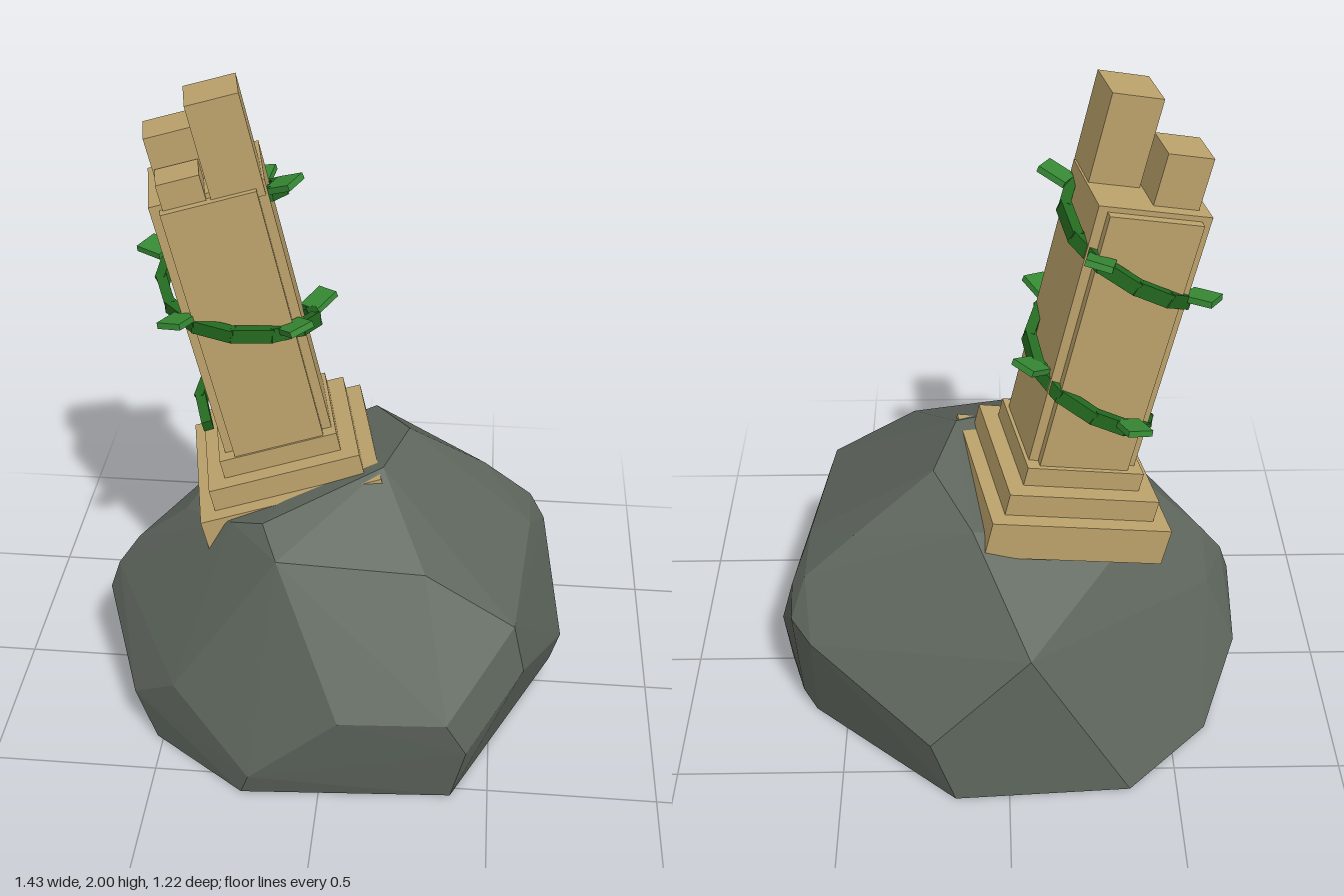
import * as THREE from 'three';
import { ConvexGeometry } from 'three/addons/geometries/ConvexGeometry.js';

const material = (name, color) => {
  const m = new THREE.MeshStandardMaterial({ color });
  m.name = name;
  return m;
};

// Corners of the boulder, grouped by side
const ROCK = [
  // ground outline
  [0.39, 0, 0.53], [-0.23, 0, 0.57], [-0.52, 0, 0.36], [-0.68, 0, -0.08], [-0.61, 0, -0.33],
  [-0.36, 0, -0.58], [0.16, 0, -0.61], [0.6, 0, -0.23], [0.655, 0, -0.03],
  // front
  [0.06, 0.33, 0.61], [0.37, 0.32, 0.58], [0.43, 0.2, 0.56], [-0.205, 0.08, 0.59], [-0.445, 0.275, 0.43],
  [-0.585, 0.155, 0.335], [0.475, 0.44, 0.465], [0.29, 0.71, 0.39], [-0.13, 0.75, 0.42],
  // +x side
  [0.55, 0.55, 0.4], [0.585, 0.39, 0.4], [0.595, 0.585, -0.06], [0.645, 0.5, -0.21], [0.715, 0.19, -0.01],
  [0.69, 0.06, -0.045], [0.64, 0.06, -0.205], [0.645, 0.43, -0.29], [0.585, 0.39, -0.36], [0.6, 0.56, -0.25],
  // back
  [0.23, 0.22, -0.61], [-0.06, 0.525, -0.59], [0.45, 0.69, -0.22],
  // top
  [0.1, 0.8, -0.35], [0.215, 0.86, -0.135], [0.15, 0.872, 0.1], [-0.18, 0.8, 0.31], [-0.28, 0.755, 0.25],
  [-0.38, 0.66, -0.17], [-0.45, 0.65, 0.05],
  // -x side
  [-0.61, 0.51, 0.02], [-0.62, 0.4, -0.1], [-0.675, 0.42, 0.04], [-0.705, 0.33, 0.05], [-0.715, 0.175, -0.12],
];

export function createModel() {
  const model = new THREE.Group();
  const rockGrey = material('rock grey', 0x5f675e);
  const sandstone = material('sandstone', 0xbda36c);
  const vineGreen = material('vine green', 0x23691f);
  const leafGreen = material('leaf green', 0x378b35);

  const boulder = new THREE.Mesh(new ConvexGeometry(ROCK.map(p => new THREE.Vector3(...p))), rockGrey);
  boulder.name = 'boulder';
  model.add(boulder);

  // Leaning pillar; its local y = 0 is the top of the lowest step
  const pillar = new THREE.Group();
  pillar.name = 'pillar';
  pillar.position.set(-0.163, 0.8, -0.065);
  pillar.rotation.set(0.028, THREE.MathUtils.degToRad(11), THREE.MathUtils.degToRad(12.5), 'ZXY');
  model.add(pillar);

  const block = (name, w, d, y0, y1, x = 0, z = 0) => {
    const m = new THREE.Mesh(new THREE.BoxGeometry(w, y1 - y0, d), sandstone);
    m.name = name;
    m.position.set(x, (y0 + y1) / 2, z);
    pillar.add(m);
  };
  block('lowerStep', 0.54, 0.54, -0.12, 0);
  block('middleStep', 0.45, 0.45, 0, 0.07);
  block('upperStep', 0.35, 0.35, 0.07, 0.13);
  // two crossing boxes leave a notch at every corner
  block('shaftWide', 0.32, 0.27, 0.13, 0.94, 0.004);
  block('shaftDeep', 0.265, 0.33, 0.13, 0.925, 0.004, 0.004);
  // broken top
  block('tallStub', 0.145, 0.15, 0.9, 1.195, 0.085, 0.075);
  block('middleStub', 0.13, 0.13, 0.9, 1.09, -0.062, -0.035);
  block('shortStub', 0.12, 0.11, 0.9, 1.0, -0.06, 0.09);

  // Vine winding down the shaft; t counts turns from the +x face
  const vine = new THREE.Group();
  vine.name = 'vine';
  pillar.add(vine);
  const helix = (t, r = 0.2) => {
    const a = t * Math.PI * 2;
    return new THREE.Vector3(r * Math.cos(a), 0.845 - 0.42 * t, -r * Math.sin(a));
  };
  const start = -0.1, end = 1.55, count = 20;
  for (let i = 0; i < count; i++) {
    const a = helix(start + (end - start) * i / count);
    const b = helix(start + (end - start) * (i + 1) / count);
    const stem = new THREE.Mesh(new THREE.BoxGeometry(0.03, 0.04, a.distanceTo(b) + 0.012), vineGreen);
    stem.name = 'vineSegment';
    stem.position.copy(a).lerp(b, 0.5);
    stem.quaternion.setFromRotationMatrix(new THREE.Matrix4().lookAt(a, b, new THREE.Vector3(0, 1, 0)));
    vine.add(stem);
  }

  // Flat leaves pointing outward
  [-0.08, 0.15, 0.405, 0.625, 0.85, 1.07, 1.3].forEach((t, i) => {
    const leaf = new THREE.Mesh(new THREE.BoxGeometry(0.085, 0.018, 0.075), leafGreen);
    leaf.name = 'leaf';
    leaf.position.copy(helix(t, 0.24));
    leaf.position.y += 0.025;
    leaf.rotation.set(0, t * Math.PI * 2 + (i % 2 ? 0.2 : -0.15), 0.2, 'YZX');
    vine.add(leaf);
  });

  return model;
}
